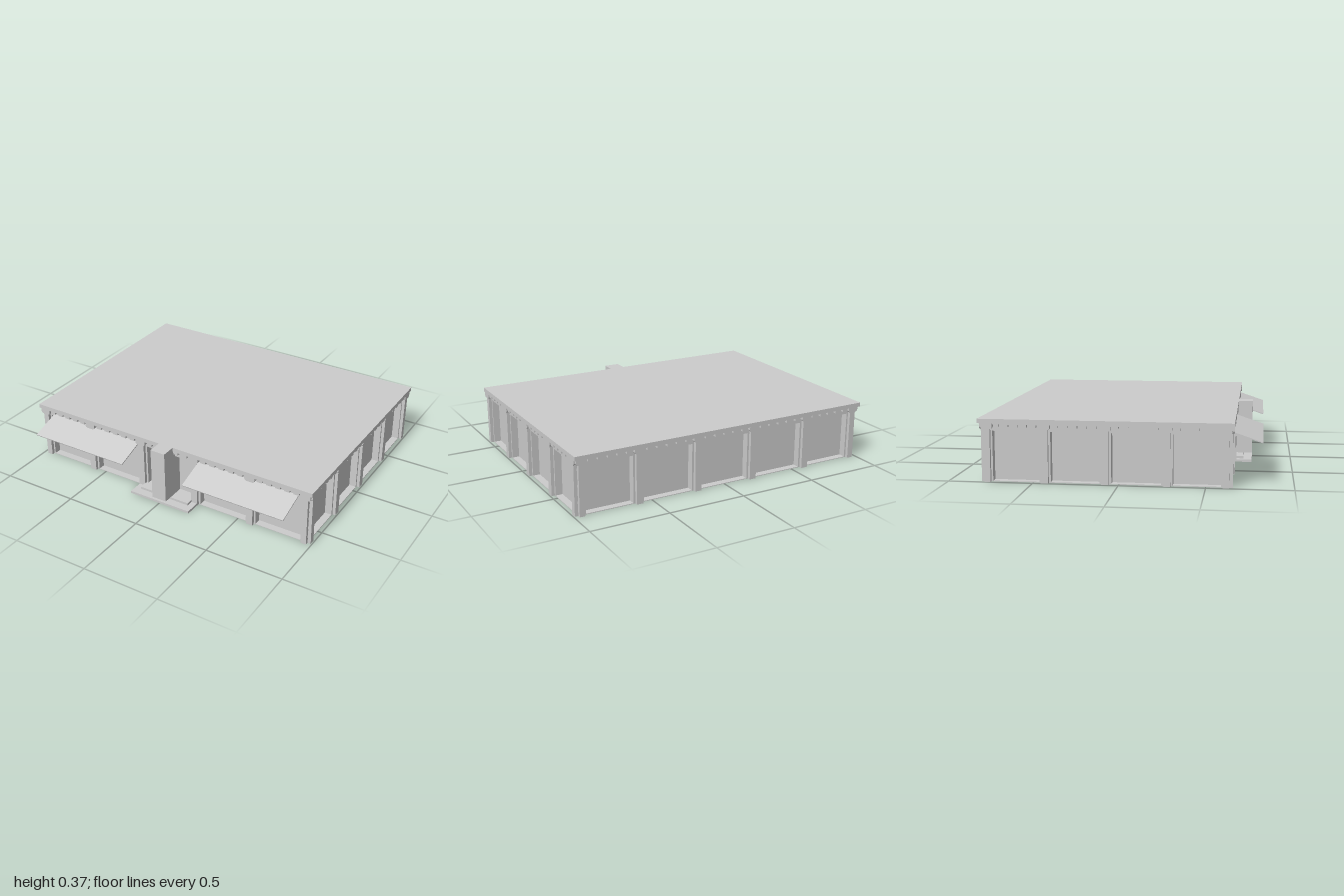
import * as THREE from 'three';

const plaster = new THREE.MeshStandardMaterial({ color: 0xcccccc });
plaster.name = 'plaster grey';

const HX = 0.972, HZ = 0.71, CZ = -0.077; // wall face half-sizes and centre in z
const DEPTH = 0.045, EAVE = 0.346, TOP = 0.372, HEAD = 0.299;

function box(parent, name, x0, x1, y0, y1, z0, z1) {
  const mesh = new THREE.Mesh(new THREE.BoxGeometry(x1 - x0, y1 - y0, z1 - z0), plaster);
  mesh.position.set((x0 + x1) / 2, (y0 + y1) / 2, (z0 + z1) / 2);
  mesh.name = name;
  parent.add(mesh);
  return mesh;
}

// Wall in its own frame: outer face at z = 0, running from -half to half along x
function wall(name, half, pilasters) {
  const group = new THREE.Group();
  group.name = name;
  const openings = [];
  for (let i = 0; i < pilasters.length - 1; i++) {
    const a = i === 0 ? -half + 0.048 : pilasters[i] + 0.034;
    const b = i === pilasters.length - 2 ? half - 0.048 : pilasters[i + 1] - 0.034;
    openings.push([a, b]);
  }

  // Frame with an opening for every bay
  const s = new THREE.Shape();
  s.moveTo(-half, 0);
  for (const [a, b] of openings) {
    s.lineTo(a, 0);
    s.lineTo(a, HEAD);
    s.lineTo(b, HEAD);
    s.lineTo(b, 0);
  }
  s.lineTo(half, 0);
  s.lineTo(half, EAVE);
  s.lineTo(-half, EAVE);
  const frame = new THREE.Mesh(
    new THREE.ExtrudeGeometry(s, { depth: DEPTH, bevelEnabled: false }), plaster);
  frame.position.z = -DEPTH;
  frame.name = 'wallFrame';
  group.add(frame);

  // Pilasters with round-shouldered capitals
  const cap = new THREE.Shape();
  cap.moveTo(-0.034, EAVE);
  cap.lineTo(-0.034, 0.325);
  cap.quadraticCurveTo(-0.032, 0.312, -0.018, 0.312);
  cap.lineTo(0.018, 0.312);
  cap.quadraticCurveTo(0.032, 0.312, 0.034, 0.325);
  cap.lineTo(0.034, EAVE);
  const capGeo = new THREE.ExtrudeGeometry(cap, { depth: 0.026, bevelEnabled: false, curveSegments: 4 });
  for (const x of pilasters) {
    const w = Math.abs(x) > half - 0.03 ? 0.018 : 0.022;
    box(group, 'pilaster', x - w, x + w, 0, EAVE, -0.002, 0.02);
    const capital = new THREE.Mesh(capGeo, plaster);
    capital.position.x = x;
    capital.name = 'capital';
    group.add(capital);
  }

  // Corbel teeth under the eaves
  for (const [a, b] of openings) {
    const n = 5, step = (b - a) / n;
    for (let i = 0; i < n; i++) {
      const c = a + (i + 0.5) * step;
      box(group, 'corbel', c - step * 0.28, c + step * 0.28, 0.324, EAVE, -0.002, 0.02);
    }
    box(group, 'corbelBand', a, b, 0.339, EAVE, -0.002, 0.02);
  }
  return group;
}

export function createModel() {
  const model = new THREE.Group();

  // Floor, recessed panels and roof
  box(model, 'floor', -HX, HX, 0, 0.004, CZ - HZ, CZ + HZ);
  box(model, 'bayPanels', -HX + DEPTH, HX - DEPTH, 0.002, EAVE,
    CZ - HZ + DEPTH, CZ + HZ - DEPTH);
  box(model, 'roof', -1, 1, EAVE, TOP, -0.822, 0.66);

  // Four walls
  const long = [-0.953, -0.5875, -0.195, 0.195, 0.5875, 0.953];
  const short = [-0.691, -0.354, 0, 0.354, 0.691];
  const sides = [
    ['frontWall', HX, long, 0, CZ + HZ, 0],
    ['backWall', HX, long, 0, CZ - HZ, Math.PI],
    ['leftWall', HZ, short, HX, CZ, Math.PI / 2],
    ['rightWall', HZ, short, -HX, CZ, -Math.PI / 2],
  ];
  for (const [name, half, list, x, z, turn] of sides) {
    const w = wall(name, half, list);
    w.position.set(x, 0, z);
    w.rotation.y = turn;
    model.add(w);
  }

  // Entrance steps and tall block
  box(model, 'lowerStep', -0.215, 0.215, 0, 0.015, 0.58, 0.75);
  box(model, 'upperStep', -0.177, 0.177, 0.015, 0.03, 0.58, 0.697);
  box(model, 'entranceBlock', -0.05, 0.05, 0.03, TOP, 0.58, 0.75);

  // Sloping awnings
  const tilt = Math.atan2(0.069, 0.205);
  for (const side of [-1, 1]) {
    const awning = new THREE.Mesh(new THREE.BoxGeometry(0.68, 0.006, 0.216), plaster);
    awning.position.set(side * 0.56, 0.283, 0.717);
    awning.rotation.x = tilt;
    awning.name = 'awning';
    model.add(awning);
  }
  return model;
}
